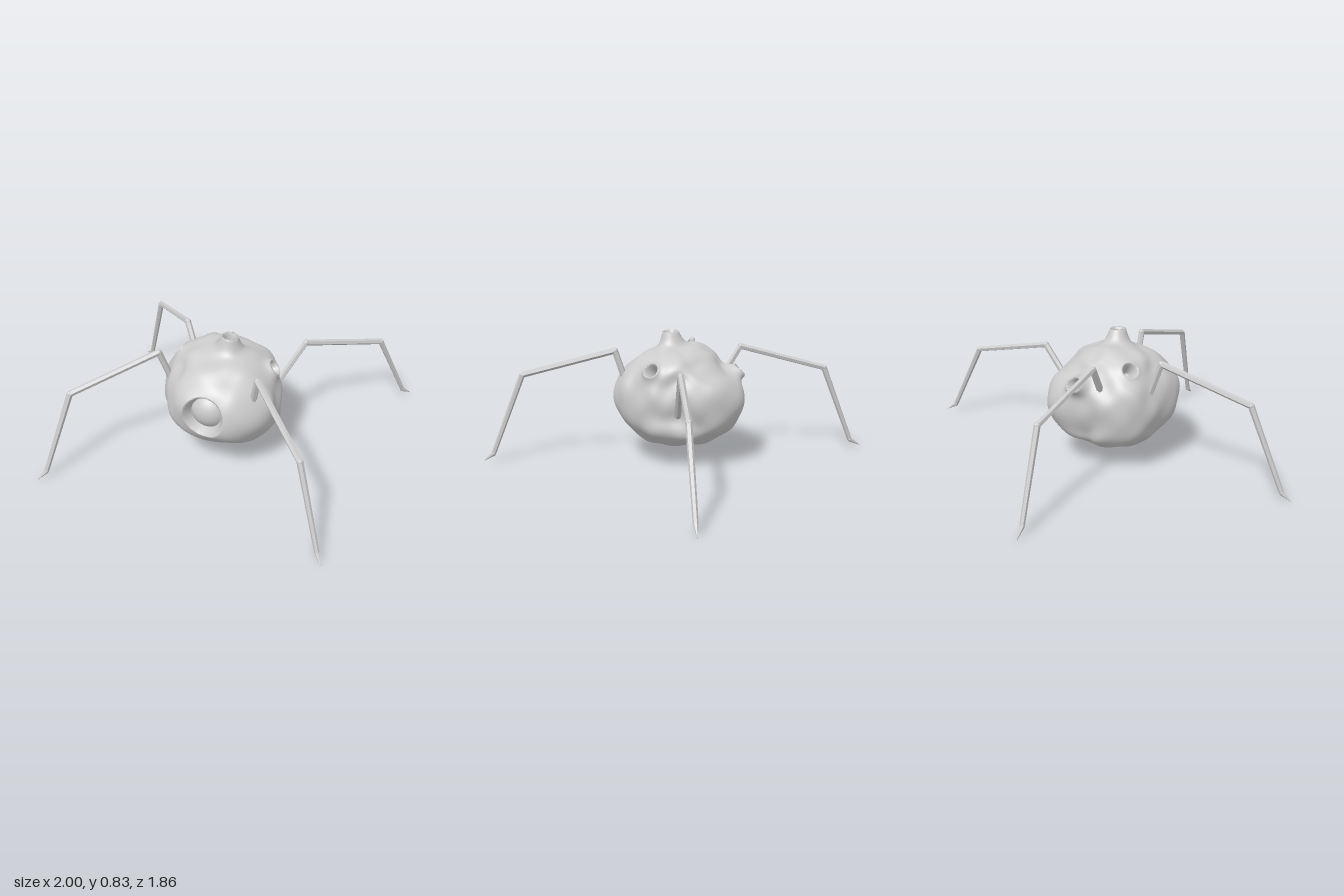
import * as THREE from 'three';
import { mergeVertices } from 'three/addons/utils/BufferGeometryUtils.js';

const V = (x, y, z) => new THREE.Vector3(x, y, z);
const CENTER = V(-0.03, 0.42, 0.05);
const smooth = THREE.MathUtils.smoothstep;

// Points the lumpy body passes through: three crossing outlines, then leg sockets and lumps
const FRONT_OUTLINE = [[-0.43, 0.42], [-0.41, 0.33], [-0.375, 0.22], [-0.25, 0.13], [-0.12, 0.09], [0.1, 0.11],
  [0.22, 0.14], [0.29, 0.21], [0.345, 0.36], [0.32, 0.45], [0.28, 0.59], [0.2, 0.68], [-0.17, 0.735],
  [-0.3, 0.66], [-0.38, 0.58]].map(([x, y]) => V(x, y, 0.05));
const SIDE_OUTLINE = [[0.46, 0.32], [0.38, 0.23], [0.25, 0.14], [0.02, 0.09], [-0.13, 0.12], [-0.25, 0.18],
  [-0.35, 0.28], [-0.38, 0.37], [-0.33, 0.48], [-0.22, 0.61], [-0.1, 0.71], [0.05, 0.74], [0.2, 0.72],
  [0.3, 0.68], [0.42, 0.58]].map(([z, y]) => V(-0.03, y, z));
const TOP_OUTLINE = [[-0.39, -0.03], [-0.27, -0.21], [-0.18, -0.35], [-0.06, -0.385], [0.05, -0.35],
  [0.15, -0.27], [0.22, -0.16], [0.31, -0.06], [0.32, 0.28], [0.27, 0.35], [0.12, 0.46], [-0.15, 0.45],
  [-0.27, 0.38], [-0.36, 0.25]].map(([x, z]) => V(x, 0.4, z));
const EXTRA = [V(0.25, 0.55, 0.3), V(-0.35, 0.52, 0.2), V(-0.31, 0.56, -0.1), V(0.23, 0.36, -0.15),
  V(0.26, 0.42, -0.11), V(0.25, 0.2, -0.12)];

// Radius of the plain egg shape along a unit direction
function eggRadius(d) {
  const ax = d.x > 0 ? 0.37 : 0.38, ay = 0.315, az = d.z > 0 ? 0.41 : 0.42;
  return 1 / Math.hypot(d.x / ax, d.y / ay, d.z / az);
}

const CONTROLS = [...FRONT_OUTLINE, ...SIDE_OUTLINE, ...TOP_OUTLINE, ...EXTRA].map((p) => {
  const dir = p.clone().sub(CENTER), length = dir.length();
  dir.normalize();
  return { dir, factor: length / eggRadius(dir) };
});

// Vents: position, hole radius, rim height, flare width, depth
const VENTS = [
  [V(0.015, 0.8, 0.09), 0.042, 0.09, 0.1, 0.1],
  [V(-0.25, 0.57, -0.24), 0.036, 0.055, 0.06, 0.1],
  [V(0.29, 0.62, 0.02), 0.04, 0.03, 0.06, 0.09],
  [V(-0.32, 0.66, 0.08), 0.04, 0.015, 0.06, 0.09],
].map(([p, hole, height, flare, depth]) => ({ dir: p.sub(CENTER).normalize(), hole, height, flare, depth }));

function bodyRadius(d) {
  let sum = 0.01, weight = 0.01;
  for (const c of CONTROLS) {
    const w = Math.exp(34 * (c.dir.dot(d) - 1));
    sum += w * c.factor;
    weight += w;
  }
  let r = eggRadius(d) * sum / weight;
  // Soft lumps
  r += 0.006 * Math.sin(7 * d.x + 3 * d.y) * Math.sin(6 * d.y - 4 * d.z + 1)
     + 0.005 * Math.sin(11 * d.z + 5 * d.x + 2) * Math.sin(9 * d.y + 3);
  // Vents with a raised rim and a hollow core
  for (const v of VENTS) {
    const a = Math.acos(Math.min(1, v.dir.dot(d))) * (0.36 + v.height);
    const out = Math.max(0, a - v.hole - 0.012) / v.flare;
    r += v.height * Math.exp(-out * 2.2 - out * out);
    r -= (v.height * 0.4 + v.depth) * (1 - smooth(a, v.hole * 0.5, v.hole + 0.01));
  }
  // Eye socket
  if (d.z > 0) {
    const a = Math.hypot(d.x * r - 0.01, d.y * r - 0.02);
    r -= 0.13 * (1 - smooth(a, 0.11, 0.129));
  }
  return r;
}

function buildBody() {
  let geo = new THREE.IcosahedronGeometry(1, 60);
  geo.deleteAttribute('uv');
  geo.deleteAttribute('normal');
  geo = mergeVertices(geo, 1e-5);
  const pos = geo.attributes.position, d = V(0, 0, 0);
  for (let i = 0; i < pos.count; i++) {
    d.fromBufferAttribute(pos, i).normalize();
    d.multiplyScalar(bodyRadius(d)).add(CENTER);
    pos.setXYZ(i, d.x, d.y, d.z);
  }
  geo.computeVertexNormals();
  return geo;
}

// Legs: hip, upper knee, lower knee, ankle, tip
const LEGS = {
  frontLeftLeg: [[0.24, 0.53, 0.29], [0.28, 0.705, 0.33], [0.68, 0.555, 0.76], [0.84, 0.05, 0.88], [0.885, 0.003, 0.925]],
  backLeftLeg: [[0.22, 0.34, -0.14], [0.38, 0.635, -0.3], [0.785, 0.51, -0.7], [0.945, 0.05, -0.88], [0.995, 0.003, -0.933]],
  backRightLeg: [[-0.3, 0.54, -0.1], [-0.38, 0.705, -0.165], [-0.77, 0.555, -0.565], [-0.93, 0.05, -0.69], [-1, 0.003, -0.735]],
  frontRightLeg: [[-0.34, 0.51, 0.2], [-0.39, 0.705, 0.25], [-0.79, 0.555, 0.655], [-0.92, 0.05, 0.82], [-0.96, 0.003, 0.867]],
};
const LEG_RADII = [0.021, 0.02, 0.019, 0.015, 0.001];
const SEGMENT_NAMES = ['hipSegment', 'upperSegment', 'lowerSegment', 'claw'];

function buildLeg(name, coords, material) {
  const leg = new THREE.Group();
  leg.name = name;
  const pts = coords.map((c) => V(...c));
  for (let i = 0; i < 4; i++) {
    const dir = pts[i + 1].clone().sub(pts[i]);
    const geo = new THREE.CylinderGeometry(LEG_RADII[i + 1], LEG_RADII[i], dir.length(), 6);
    const segment = new THREE.Mesh(geo, material);
    segment.name = SEGMENT_NAMES[i];
    segment.position.copy(pts[i]).addScaledVector(dir, 0.5);
    segment.quaternion.setFromUnitVectors(V(0, 1, 0), dir.normalize());
    leg.add(segment);
    if (i > 0) {
      const joint = new THREE.Mesh(new THREE.IcosahedronGeometry(LEG_RADII[i], 1), material);
      joint.name = 'joint';
      joint.position.copy(pts[i]);
      leg.add(joint);
    }
  }
  return leg;
}

export function createModel() {
  const model = new THREE.Group();
  model.name = 'leggedCreature';
  const smoothGrey = new THREE.MeshStandardMaterial({ color: 0xcccccc });
  const facetGrey = new THREE.MeshStandardMaterial({ color: 0xcccccc, flatShading: true });

  const body = new THREE.Mesh(buildBody(), smoothGrey);
  body.name = 'body';
  model.add(body);

  // Eyeball sunk into the front socket
  const eye = new THREE.Mesh(new THREE.SphereGeometry(0.13, 32, 20), smoothGrey);
  eye.name = 'eye';
  eye.position.set(-0.02, 0.44, 0.305);
  model.add(eye);

  for (const [name, coords] of Object.entries(LEGS)) model.add(buildLeg(name, coords, facetGrey));
  return model;
}
